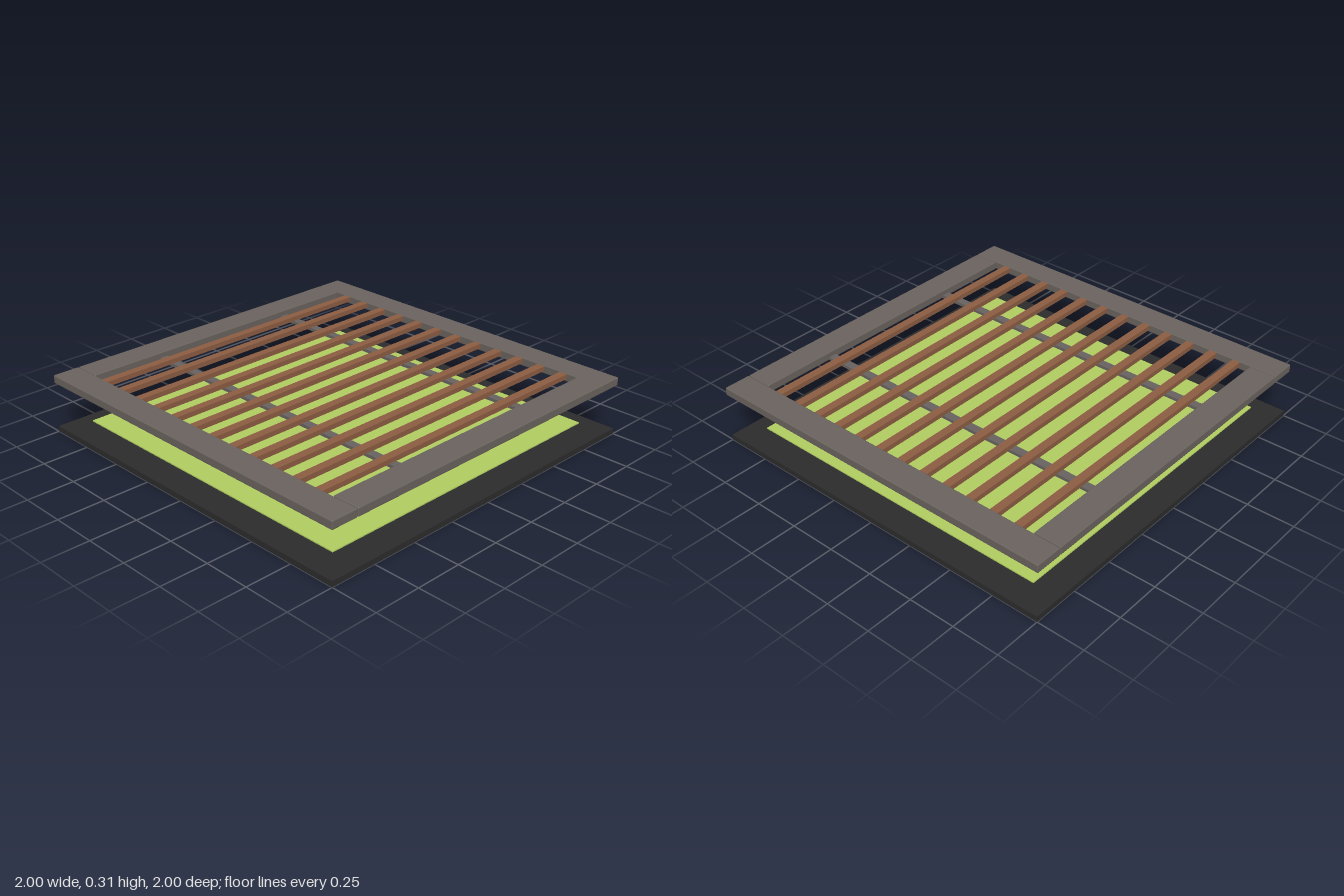
import * as THREE from 'three';
import { RoundedBoxGeometry } from 'three/addons/geometries/RoundedBoxGeometry.js';

export function createModel() {
  const model = new THREE.Group();
  model.name = 'slattedPanel';

  const material = (name, color) => {
    const m = new THREE.MeshStandardMaterial({ color });
    m.name = name;
    return m;
  };
  const frameGrey = material('warm grey frame', 0x69625d);
  const barGrey = material('grey crossbar', 0x67625f);
  const slatBrown = material('brown slat', 0x8b5c42);
  const sheetGreen = material('light green sheet', 0xb0cc60);
  const baseBlack = material('black base', 0x2b2b2b);

  const add = (name, geometry, mat, x, y, z) => {
    const mesh = new THREE.Mesh(geometry, mat);
    mesh.name = name;
    mesh.position.set(x, y, z);
    model.add(mesh);
  };

  // Base board and the sheet floating above it
  add('base', new THREE.BoxGeometry(2, 0.03, 2), baseBlack, 0, 0.015, 0);
  add('greenSheet', new THREE.BoxGeometry(1.75, 0.006, 1.75), sheetGreen, 0, 0.06, 0);

  // Raised frame: two full-width rails with two stiles between them, edges eased
  const rail = new RoundedBoxGeometry(2, 0.045, 0.147, 2, 0.006);
  const stile = new RoundedBoxGeometry(0.147, 0.045, 1.7, 2, 0.006);
  for (const side of [-1, 1]) {
    add(side > 0 ? 'frontRail' : 'backRail', rail, frameGrey, 0, 0.2925, side * 0.9265);
    add(side > 0 ? 'leftStile' : 'rightStile', stile, frameGrey, side * 0.9265, 0.2925, 0);
  }

  // Crossbars under the slats
  const bar = new THREE.BoxGeometry(1.72, 0.016, 0.045);
  for (const z of [-0.425, 0.425]) add('crossbar', bar, barGrey, 0, 0.279, z);

  // Row of evenly spaced slats
  const slat = new THREE.BoxGeometry(0.044, 0.026, 1.72);
  const count = 12;
  for (let i = 0; i < count; i++) {
    add('slat', slat, slatBrown, -0.77 + (1.54 * i) / (count - 1), 0.298, 0);
  }

  return model;
}
